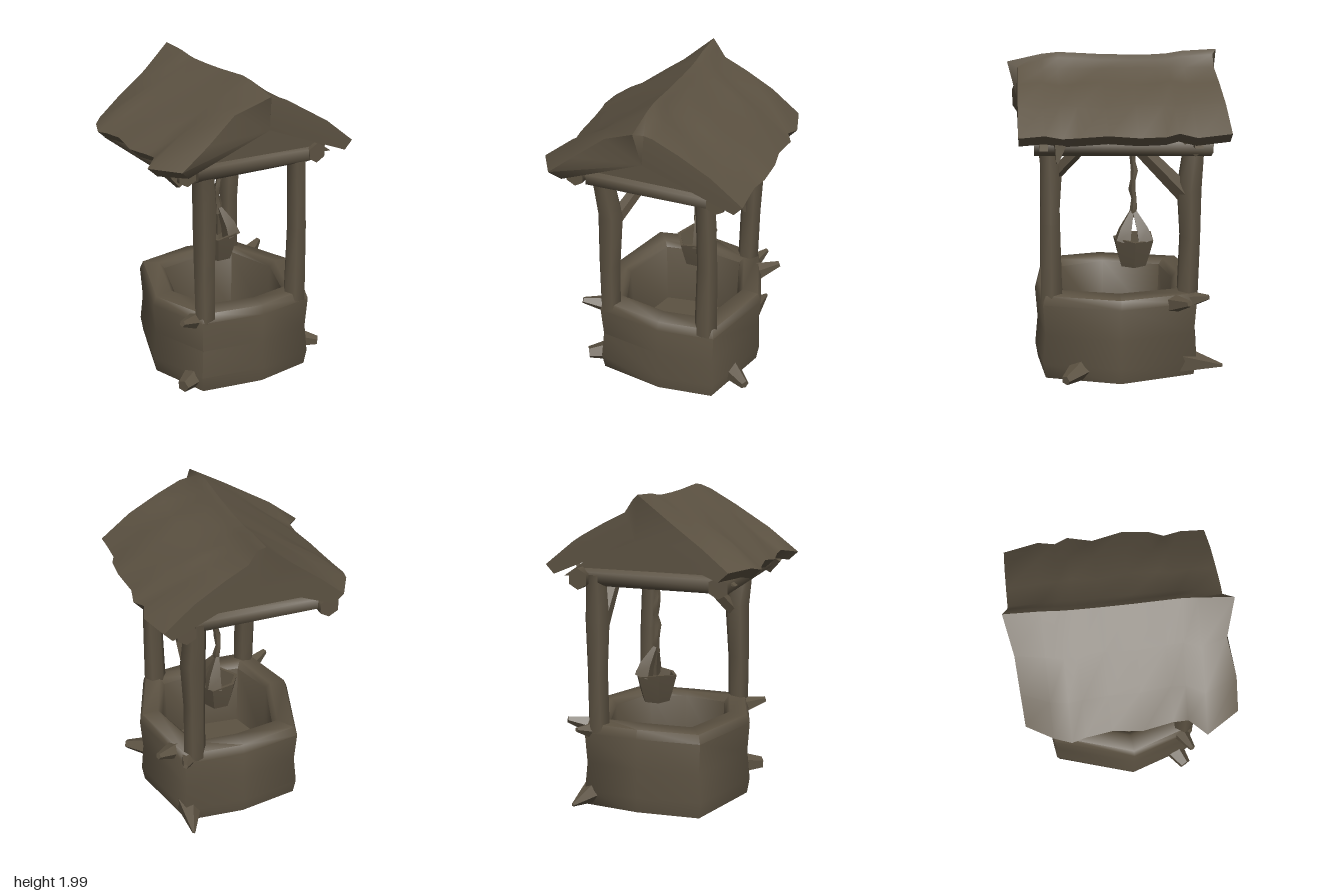
import * as THREE from 'three';
import { toCreasedNormals } from 'three/addons/utils/BufferGeometryUtils.js';

const V = (x, y, z) => new THREE.Vector3(x, y, z);
const weathered = new THREE.MeshStandardMaterial({ color: 0x5c5242 });
weathered.name = 'weatheredBrown';

// Closed solid through rings of equal point count, capped at both ends
function loft(rings, crease = 1.15) {
  const n = rings[0].length, pts = rings.flat(), idx = [];
  for (let r = 0; r < rings.length - 1; r++) {
    for (let i = 0; i < n; i++) {
      const a = r * n + i, b = r * n + (i + 1) % n;
      idx.push(a, b, b + n, a, b + n, a + n);
    }
  }
  const cap = (ring, start, flip) => {
    const c = ring.reduce((s, p) => s.add(p), V(0, 0, 0)).divideScalar(n);
    pts.push(c);
    for (let i = 0; i < n; i++) {
      const a = start + i, b = start + (i + 1) % n;
      idx.push(pts.length - 1, ...(flip ? [b, a] : [a, b]));
    }
  };
  cap(rings[0], 0, true);
  cap(rings[rings.length - 1], (rings.length - 1) * n, false);
  // Turn the faces outward
  let volume = 0;
  for (let i = 0; i < idx.length; i += 3) {
    volume += pts[idx[i]].dot(pts[idx[i + 1]].clone().cross(pts[idx[i + 2]]));
  }
  if (volume < 0) idx.reverse();
  const g = new THREE.BufferGeometry().setFromPoints(pts);
  g.setIndex(idx);
  return toCreasedNormals(g, crease);
}

// Rough timber: rings of n sides along a path, one radius for each point
function limb(path, radii, n = 6) {
  const dir = path[path.length - 1].clone().sub(path[0]).normalize();
  const u = V(0, 0, 0).crossVectors(dir, Math.abs(dir.y) > 0.8 ? V(1, 0, 0) : V(0, 1, 0)).normalize();
  const w = dir.clone().cross(u);
  return loft(path.map((p, k) => Array.from({ length: n }, (_, i) => {
    const a = (i + 0.5) / n * Math.PI * 2;
    return p.clone().addScaledVector(u, Math.cos(a) * radii[k]).addScaledVector(w, Math.sin(a) * radii[k]);
  })));
}

export function createModel() {
  const well = new THREE.Group();
  well.name = 'well';
  const add = (name, geometry) => {
    const m = new THREE.Mesh(geometry, weathered);
    m.name = name;
    well.add(m);
    return m;
  };

  // Stone basin: outer wall, broad rim, inner wall and floor
  const plan = [[0.6, 0], [0.44, 0.465], [0.08, 0.51], [-0.33, 0.465], [-0.465, 0.06], [-0.31, -0.47], [0.08, -0.535], [0.45, -0.48]];
  const section = [[0.98, 0.02], [1.01, 0.12], [0.975, 0.3], [1, 0.5], [0.96, 0.555], [0.76, 0.565], [0.7, 0.53], [0.67, 0.1]];
  add('basin', loft(section.map(([s, y], k) => plan.map(([x, z], i) =>
    V(0.08 + (x - 0.08) * s, y + (k < 6 ? 0.01 * Math.sin(i * 2.3 + 1) : 0), z * s)))));

  // Chipped stones swelling out of the basin
  const chips = [
    [V(0.43, 0.1, 0.2), V(0.62, 0.08, 0.34), 0.09, 0.03],
    [V(0.4, 0.1, -0.36), V(0.46, 0.07, -0.65), 0.1, 0.01],
    [V(-0.26, 0.1, 0.32), V(-0.45, 0.09, 0.43), 0.09, 0.04],
    [V(0.38, 0.48, -0.38), V(0.47, 0.53, -0.55), 0.075, 0.015],
    [V(0.42, 0.48, -0.3), V(0.6, 0.54, -0.41), 0.075, 0.02],
    [V(-0.28, 0.49, 0.36), V(-0.46, 0.54, 0.45), 0.07, 0.02],
  ];
  chips.forEach(([a, b, r, e]) => add('chippedStone', limb([a, b], [r, e], 5)));

  // Three posts, one back corner standing free
  add('frontRightPost', limb([V(-0.28, 0.5, 0.41), V(-0.28, 0.85, 0.4), V(-0.27, 1.2, 0.385), V(-0.3, 1.5, 0.42)], [0.068, 0.072, 0.082, 0.07]));
  add('frontLeftPost', limb([V(0.37, 0.5, 0.41), V(0.37, 1, 0.41), V(0.35, 1.5, 0.41)], [0.075, 0.065, 0.062]));
  add('backLeftPost', limb([V(0.37, 0.5, -0.43), V(0.37, 0.9, -0.44), V(0.37, 1.2, -0.43), V(0.36, 1.5, -0.46)], [0.07, 0.068, 0.08, 0.065]));

  // Braces between posts and beams
  add('frontBrace', limb([V(-0.25, 1.16, 0.36), V(-0.07, 1.47, 0.1)], [0.045, 0.04], 5));
  add('sideBrace', limb([V(0.37, 1.17, -0.4), V(0.38, 1.48, -0.1)], [0.06, 0.045], 5));

  // Beams under the roof
  add('frontBeam', limb([V(-0.37, 1.485, 0.44), V(0.42, 1.485, 0.44)], [0.065, 0.06]));
  add('backBeam', limb([V(-0.43, 1.485, -0.46), V(0.42, 1.485, -0.46)], [0.06, 0.06]));
  for (const x of [-0.44, 0.44]) {
    add('sideBeam', limb([V(x, 1.475, -0.55), V(x, 1.49, 0.5)], [0.065, 0.06]));
  }

  // Gable walls
  const gable = new THREE.Shape([[-0.52, 1.48], [0.56, 1.48], [0.02, 1.85]].map(([x, y]) => new THREE.Vector2(x, y)));
  for (const z of [0.42, -0.48]) {
    add('gable', new THREE.ExtrudeGeometry(gable, { depth: 0.05, bevelEnabled: false })).position.z = z;
  }

  // Roof: ragged eaves [z, left eave, right eave, ridge height]
  const stations = [
    [-0.61, -0.51, 0.6, 1.995], [-0.43, -0.6, 0.65, 1.985], [-0.33, -0.63, 0.62, 1.97], [-0.25, -0.61, 0.66, 1.965],
    [-0.1, -0.59, 0.63, 1.965], [0.08, -0.6, 0.66, 1.97], [0.25, -0.57, 0.65, 1.98], [0.34, -0.57, 0.62, 1.985],
    [0.44, -0.66, 0.63, 1.975], [0.6, -0.54, 0.63, 1.93],
  ];
  add('roof', loft(stations.map(([z, l, r, top], k) => {
    const wob = 0.012 * Math.sin(k * 2.1);
    const ring = [
      [l, 1.57 + wob], [l * 0.7, 1.7 - wob], [l * 0.35, 1.835 + wob], [0.01, top], [0.05, top - 0.03], [0.1, 1.89],
      [r * 0.4, 1.82 - wob], [r * 0.7, 1.715 + wob], [r, 1.57 - wob],
      [r - 0.05, 1.515 - wob], [r * 0.45, 1.655], [0.02, 1.8], [l * 0.45, 1.655], [l + 0.06, 1.515 + wob],
    ];
    // Slanting back edge, pointed ridge ends and a dip in the front edge
    return ring.map(([x, y], i) => {
      if (k === 0) return V(x, y, z - 0.05 * x - (i === 3 ? 0.03 : 0));
      if (k === 9) return V(x, y, z + (i === 3 ? 0.05 : i < 2 ? 0.03 : -0.012));
      return V(x, y, z);
    });
  }), 0.9));

  // Splinters hanging from the eaves
  const splinters = [
    [V(0.53, 1.57, 0.34), V(0.58, 1.41, 0.37), 0.07, 0.008],
    [V(-0.52, 1.53, 0.42), V(-0.46, 1.43, 0.45), 0.06, 0.03],
    [V(0.46, 1.53, -0.4), V(0.45, 1.42, -0.46), 0.06, 0.02],
  ];
  splinters.forEach(([a, b, r, e]) => add('splinter', limb([a, b], [r, e], 4)));

  // Twisted rope
  const rope = Array.from({ length: 15 }, (_, i) =>
    V(0.105 + 0.008 * Math.sin(i * 1.9), 0.95 + i * 0.061, -0.12 + 0.008 * Math.cos(i * 1.9)));
  add('rope', limb(rope, rope.map((_, i) => (i % 2 ? 0.024 : 0.018)), 5));

  // Bucket: flared sides and hollow inside
  const cup = [[0.09, 0.64], [0.115, 0.72], [0.14, 0.82], [0.12, 0.82], [0.085, 0.68]];
  add('bucket', loft(cup.map(([r, y]) => Array.from({ length: 6 }, (_, i) => {
    const a = i / 6 * Math.PI * 2;
    return V(0.11 + Math.cos(a) * r, y + (y > 0.8 ? 0.015 * Math.sin(i * 2) : 0), -0.12 + Math.sin(a) * r);
  })), 0.8));

  // Bucket straps meeting at the rope
  for (const s of [-1, 1]) {
    add('bucketStrap', limb([V(0.165, 0.8, -0.12 + s * 0.075), V(0.15, 0.88, -0.12 + s * 0.055), V(0.11, 0.99, -0.12 + s * 0.01)], [0.065, 0.05, 0.016], 4));
  }
  return well;
}
